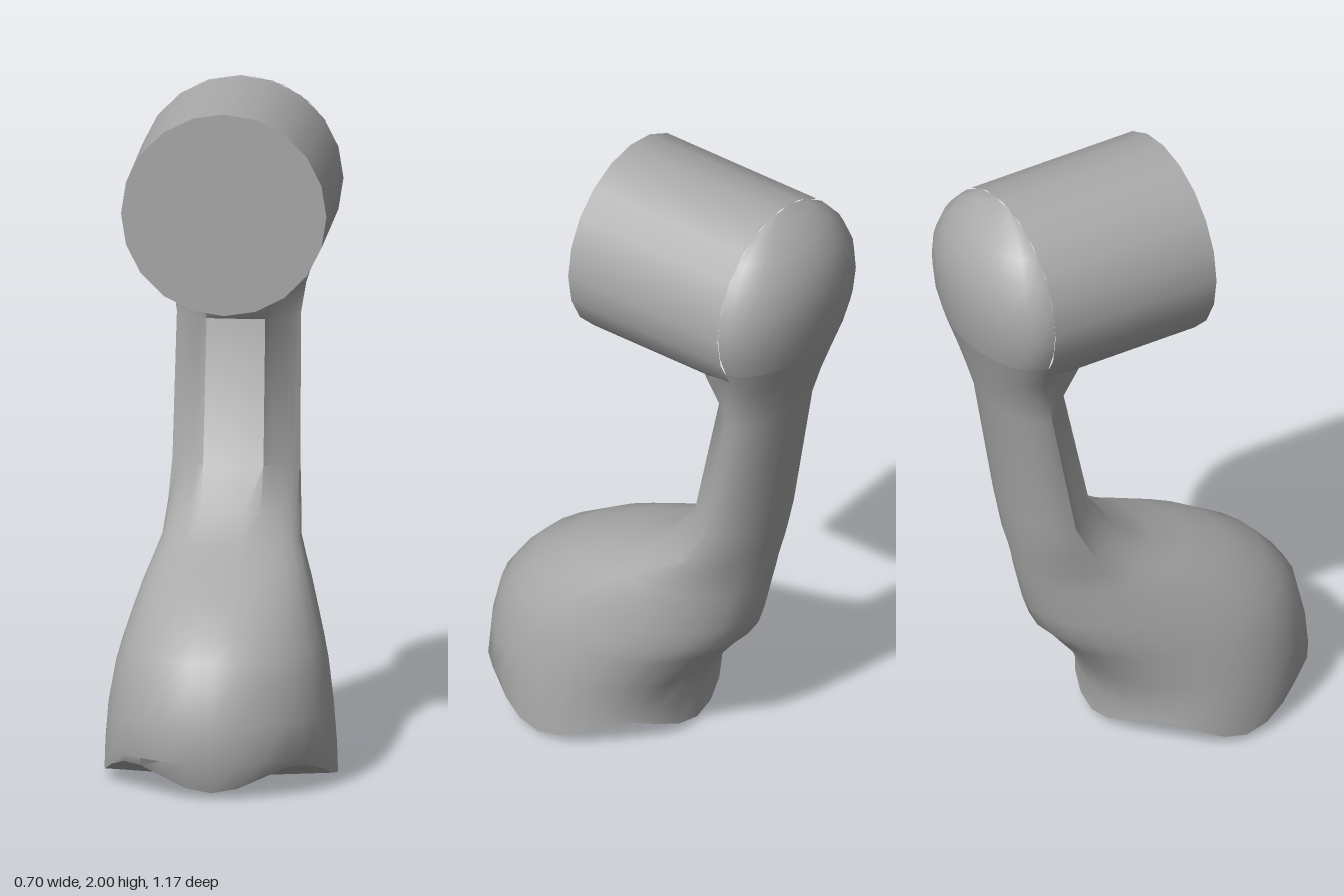
import * as THREE from 'three';
import { toCreasedNormals } from 'three/addons/utils/BufferGeometryUtils.js';

const SIDES = 28;

// One horizontal section: two half ellipses meeting at the widest depth;
// "flat" blends the front half towards a flat panel with chamfered sides.
function sectionPoint([y, front, mid, back, half, flat], a) {
  const c = Math.cos(a), s = Math.sin(a);
  let r = 1;
  if (s > 0) {
    const panel = Math.min(1 / s, 1 / (Math.abs(c) + 0.54 * s));
    r = 1 + (panel - 1) * flat;
  }
  return [half * c * r, y, mid + s * r * (s > 0 ? front - mid : mid - back)];
}

// Skin a stack of rings, bottom to top
function loft(rings) {
  const n = rings[0].length, index = [];
  for (let j = 0; j < rings.length - 1; j++) {
    for (let i = 0; i < n - 1; i++) {
      const p = j * n + i, up = p + n;
      index.push(p, up, p + 1, p + 1, up, up + 1);
    }
  }
  const g = new THREE.BufferGeometry();
  g.setAttribute('position', new THREE.Float32BufferAttribute(rings.flat(2), 3));
  g.setIndex(index);
  return toCreasedNormals(g, 0.65);
}

function ring(section, from, to, steps) {
  return Array.from({ length: steps + 1 }, (_, i) =>
    sectionPoint(section, from + (to - from) * i / steps));
}

export function createModel() {
  const model = new THREE.Group();
  const grey = new THREE.MeshStandardMaterial({ color: 0xaaaaaa });
  grey.name = 'grey';
  const add = (name, geometry) => {
    const mesh = new THREE.Mesh(geometry, grey);
    mesh.name = name;
    model.add(mesh);
    return mesh;
  };

  // Wavy lower edge of the foot
  const rim = ring([0, 0.56, 0.22, -0.11, 0.35, 0], 0, Math.PI * 2, SIDES);
  rim.forEach((p, i) => {
    p[1] = 0.052 - 0.035 * Math.cos(4 * i / SIDES * Math.PI * 2);
  });

  // Foot and column: y, front z, widest z, back z, half width, flat front
  const body = [
    [0.11, 0.59, 0.22, -0.11, 0.347, 0],
    [0.22, 0.58, 0.22, -0.15, 0.338, 0],
    [0.34, 0.555, 0.19, -0.245, 0.318, 0],
    [0.40, 0.515, 0.16, -0.30, 0.302, 0],
    [0.47, 0.45, 0.10, -0.325, 0.28, 0],
    [0.55, 0.32, 0.02, -0.345, 0.253, 0],
    [0.61, 0.18, -0.06, -0.36, 0.228, 0],
    [0.66, 0.06, -0.13, -0.37, 0.208, 0],
    [0.74, -0.07, -0.22, -0.388, 0.2, 0.4],
    [0.86, -0.17, -0.28, -0.41, 0.192, 1],
    [1.29, -0.26, -0.36, -0.48, 0.186, 1],
    [1.38, -0.19, -0.38, -0.507, 0.2, 0.6],
    [1.46, -0.18, -0.41, -0.53, 0.225, 0.2],
    [1.55, -0.25, -0.42, -0.56, 0.267, 0],
  ];
  add('footAndColumn', loft([rim, ...body.map(s => ring(s, 0, Math.PI * 2, SIDES))]));

  // Underside: shallow fan to a low centre point
  const fan = [];
  for (let i = 0; i < SIDES; i++) fan.push(0, 0, 0.24, ...rim[i], ...rim[i + 1]);
  const under = new THREE.BufferGeometry();
  under.setAttribute('position', new THREE.Float32BufferAttribute(fan, 3));
  under.computeVertexNormals();
  add('underside', under);

  // Rounded back of the head, an open half shell
  const shell = [
    [1.55, -0.42, -0.42, -0.56, 0.267, 0],
    [1.62, -0.42, -0.42, -0.577, 0.295, 0],
    [1.70, -0.42, -0.42, -0.585, 0.306, 0],
    [1.78, -0.42, -0.42, -0.585, 0.294, 0],
    [1.86, -0.42, -0.42, -0.562, 0.257, 0],
    [1.92, -0.42, -0.42, -0.525, 0.205, 0],
    [1.97, -0.42, -0.42, -0.475, 0.13, 0],
    [2.0, -0.42, -0.42, -0.425, 0.03, 0],
  ];
  add('headBack', loft(shell.map(s => ring(s, Math.PI, Math.PI * 2, SIDES / 2))));

  // Cylindrical head with a flat front
  const barrel = new THREE.CylinderGeometry(0.308, 0.308, 0.56, 20, 1, true);
  barrel.rotateX(Math.PI / 2);
  add('headBarrel', barrel).position.set(0, 1.692, -0.14);
  const face = new THREE.CircleGeometry(0.308, 20, Math.PI / 2);
  add('headFace', face).position.set(0, 1.692, 0.14);

  return model;
}
